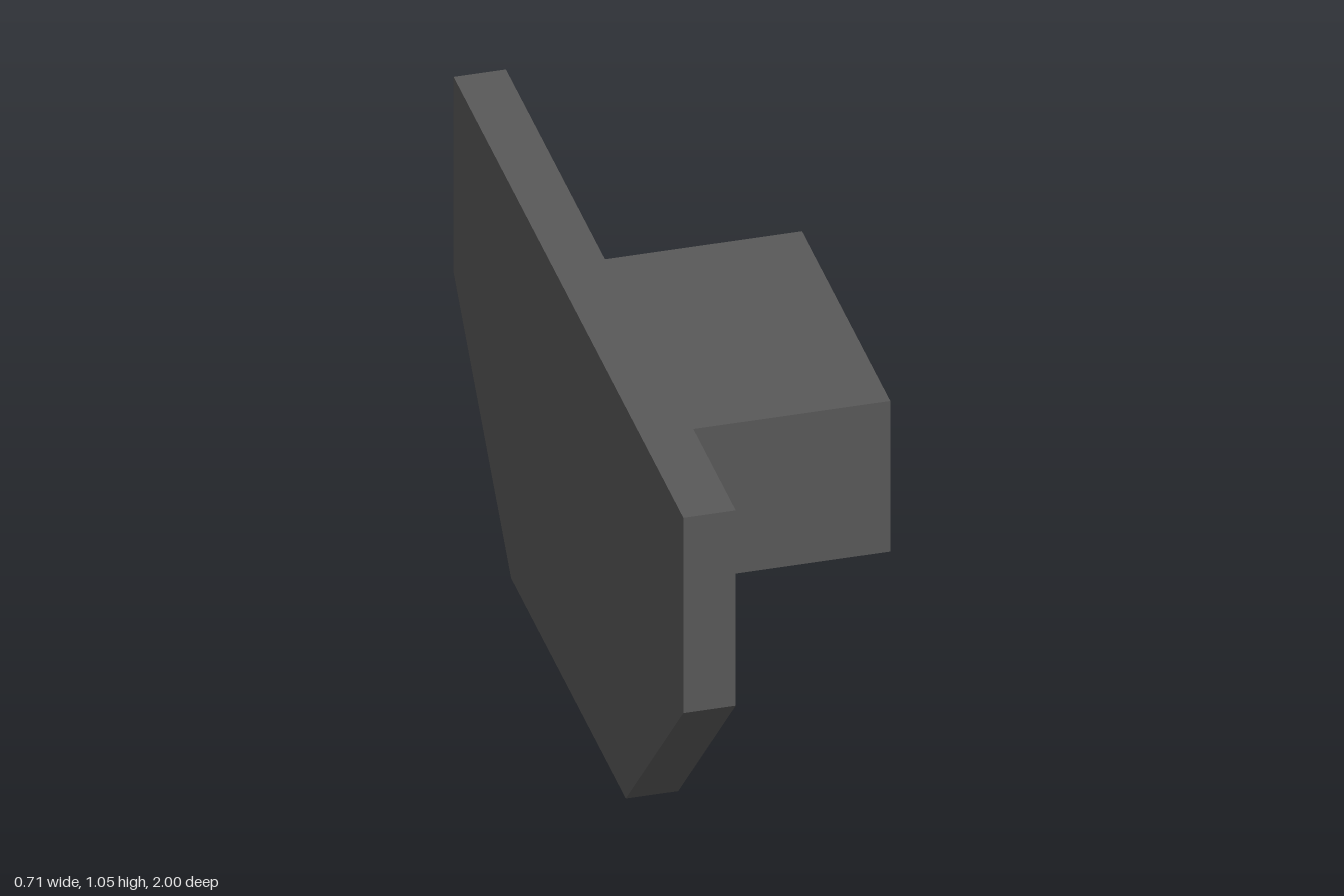
import * as THREE from 'three';

export function createModel() {
  const group = new THREE.Group();
  const material = new THREE.MeshStandardMaterial({ color: 0x595959, flatShading: true });
  const left = -0.355, inner = -0.231, right = 0.355;

  // Upright plate with its two lower corners cut off, drawn in z-y and extruded along x
  const outline = new THREE.Shape([
    [-0.5, 0], [0.5, 0], [1, 0.525], [1, 1.049], [-1, 1.049], [-1, 0.525],
  ].map(([z, y]) => new THREE.Vector2(z, y)));
  const plateGeometry = new THREE.ExtrudeGeometry(outline, { depth: inner - left, bevelEnabled: false });
  plateGeometry.rotateY(Math.PI / 2);
  const plate = new THREE.Mesh(plateGeometry, material);
  plate.name = 'plate';
  plate.position.x = left;
  group.add(plate);

  // Off-centre block standing out from the plate
  const block = new THREE.Mesh(new THREE.BoxGeometry(right - inner, 0.404, 0.77), material);
  block.name = 'block';
  block.position.set((inner + right) / 2, 0.57, -0.19);
  group.add(block);

  return group;
}
